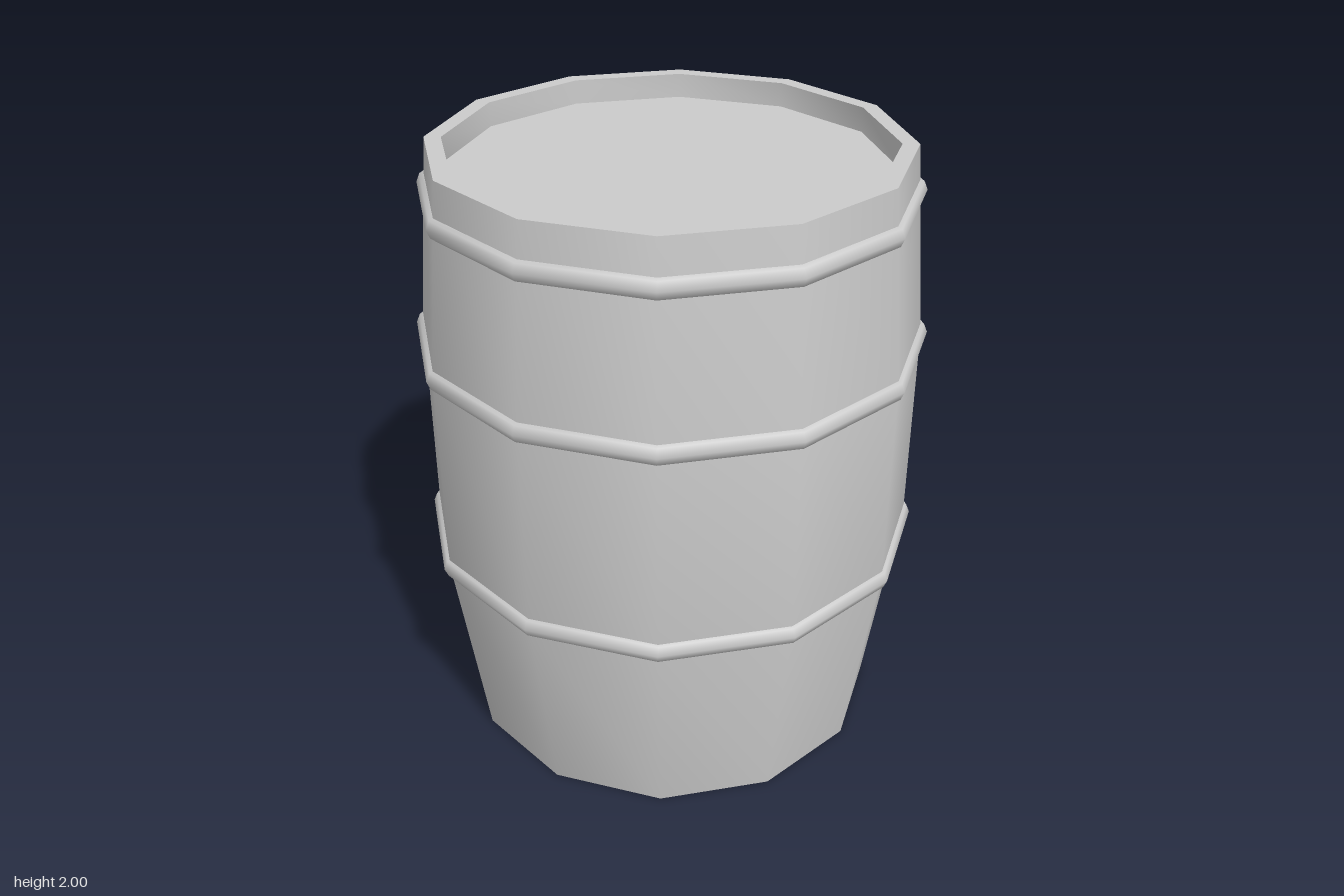
import * as THREE from 'three';
import { toCreasedNormals } from 'three/addons/utils/BufferGeometryUtils.js';

const SIDES = 12;
const TWIST = THREE.MathUtils.degToRad(5);
const LID_Y = 1.92;
const INNER_R = 0.695;

export function createModel() {
  const barrel = new THREE.Group();
  barrel.name = 'barrel';
  const material = new THREE.MeshStandardMaterial({ color: 0xcccccc });

  const add = (name, geometry, y = 0) => {
    const mesh = new THREE.Mesh(geometry, material);
    mesh.name = name;
    mesh.position.y = y;
    barrel.add(mesh);
  };

  // Staved wall: bulging outside, flat rim, short inner wall down to the lid
  const profile = [
    [0.703, 0], [0.803, 0.69], [0.803, 1.38], [0.748, 2], [INNER_R, 2], [INNER_R, LID_Y],
  ].map(([r, y]) => new THREE.Vector2(r, y));
  add('wall', toCreasedNormals(new THREE.LatheGeometry(profile, SIDES, TWIST), 0.6));

  // Recessed lid and closed base
  add('lid', new THREE.CircleGeometry(INNER_R, SIDES, TWIST).rotateX(-Math.PI / 2), LID_Y);
  add('base', new THREE.CircleGeometry(0.703, SIDES, -TWIST).rotateX(Math.PI / 2));

  // Rounded hoops: outer radius and height
  const tube = 0.038;
  const hoops = [
    ['lowerHoop', 0.823, 0.69],
    ['middleHoop', 0.823, 1.378],
    ['upperHoop', 0.782, 1.857],
  ];
  for (const [name, r, y] of hoops) {
    const ring = new THREE.TorusGeometry(r - tube, tube, 8, SIDES);
    add(name, ring.rotateX(-Math.PI / 2).rotateY(TWIST), y);
  }

  return barrel;
}
